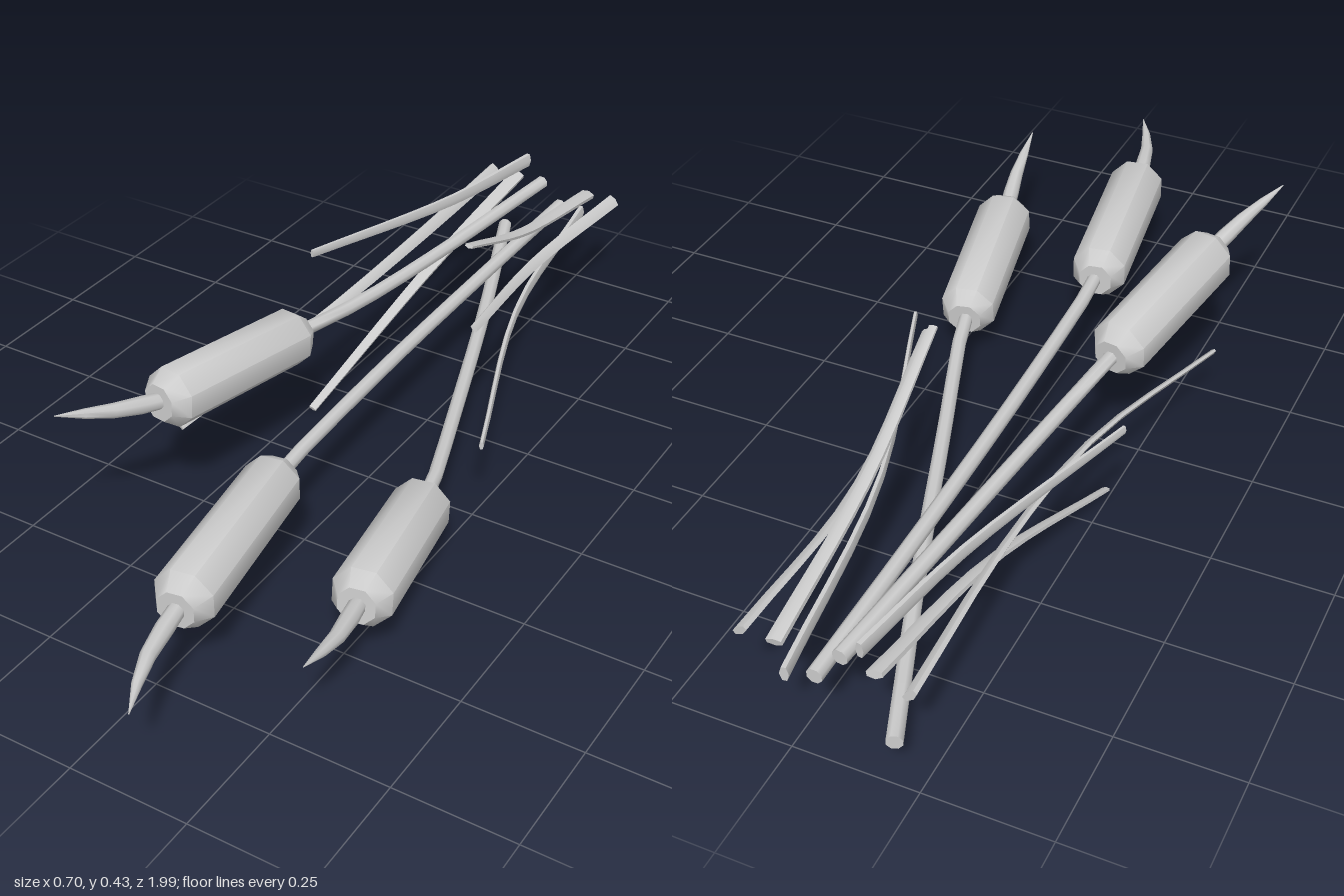
import * as THREE from 'three';
import { toCreasedNormals } from 'three/addons/utils/BufferGeometryUtils.js';

const material = new THREE.MeshStandardMaterial({ color: 0xcccccc });
const vec = (p) => new THREE.Vector3(...p);

// Sweeps an elliptical ring along a smooth path; rings are [position 0..1, half width, half thickness].
function sweep(name, points, rings, sides, widthDir = [1, 0, 0], crease = 1) {
  const path = new THREE.CatmullRomCurve3(points.map(vec));
  const positions = [];
  const index = [];
  for (const [u, halfWidth, halfThick] of rings) {
    const centre = path.getPointAt(u);
    const tangent = path.getTangentAt(u);
    const w = vec(widthDir);
    w.addScaledVector(tangent, -w.dot(tangent)).normalize();
    const n = new THREE.Vector3().crossVectors(tangent, w);
    for (let i = 0; i < sides; i++) {
      const a = ((i + 0.5) / sides) * Math.PI * 2;
      const p = centre.clone()
        .addScaledVector(w, Math.cos(a) * halfWidth)
        .addScaledVector(n, Math.sin(a) * halfThick);
      positions.push(p.x, p.y, p.z);
    }
  }
  const last = (rings.length - 1) * sides;
  for (let r = 0; r < last; r += sides) {
    for (let i = 0; i < sides; i++) {
      const j = (i + 1) % sides;
      index.push(r + i, r + j, r + sides + j, r + i, r + sides + j, r + sides + i);
    }
  }
  // End caps
  for (let i = 1; i < sides - 1; i++) {
    index.push(0, i + 1, i, last, last + i, last + i + 1);
  }
  const geometry = new THREE.BufferGeometry();
  geometry.setAttribute('position', new THREE.Float32BufferAttribute(positions, 3));
  geometry.setIndex(index);
  const mesh = new THREE.Mesh(toCreasedNormals(geometry, crease), material);
  mesh.name = name;
  return mesh;
}

// Evenly spaced rings that taper from one size to another
function taper(count, [w0, t0], [w1, t1]) {
  return Array.from({ length: count + 1 }, (_, i) => {
    const u = i / count;
    return [u, w0 + (w1 - w0) * u, t0 + (t1 - t0) * u];
  });
}

// Reed: bending stem, chamfered seed head and a curved pointed spike
function reed({ name, stem, head, spike }) {
  const group = new THREE.Group();
  group.name = name;
  const [back, front] = head;
  const inside = vec(back).lerp(vec(front), 0.1).toArray();
  const spikeRoot = vec(back).lerp(vec(front), 0.95).toArray();
  group.add(
    sweep('stem', [...stem, back, inside], taper(10, [0.016, 0.016], [0.015, 0.015]), 8),
    sweep('seedHead', head, [
      [0, 0.038, 0.038], [0.08, 0.062, 0.062], [0.92, 0.064, 0.064], [1, 0.04, 0.04],
    ], 8, [1, 0, 0], 0.9),
    sweep('spike', [spikeRoot, ...spike], [
      [0, 0.017, 0.017], [0.25, 0.018, 0.018], [0.5, 0.015, 0.015],
      [0.75, 0.010, 0.010], [1, 0.001, 0.001],
    ], 8),
  );
  return group;
}

export function createModel() {
  const model = new THREE.Group();
  model.name = 'reedBundle';

  const reeds = [
    {
      name: 'leftReed',
      stem: [[-0.2, 0.095, -0.99], [-0.047, 0.095, -0.6], [0.08, 0.097, -0.25]],
      head: [[0.215, 0.117, 0.13], [0.293, 0.155, 0.525]],
      spike: [[0.323, 0.18, 0.64], [0.34, 0.22, 0.77]],
    },
    {
      name: 'middleReed',
      stem: [[-0.053, 0.19, -0.99], [-0.052, 0.19, -0.6], [-0.045, 0.19, -0.15]],
      head: [[-0.026, 0.188, 0.29], [0.045, 0.188, 0.735]],
      spike: [[0.08, 0.188, 0.87], [0.137, 0.19, 0.99]],
    },
    {
      name: 'rightReed',
      stem: [[-0.1, 0.245, -0.98], [-0.14, 0.246, -0.56], [-0.175, 0.254, -0.25]],
      head: [[-0.204, 0.27, -0.06], [-0.27, 0.3, 0.35]],
      spike: [[-0.3, 0.325, 0.44], [-0.353, 0.362, 0.56]],
    },
  ];
  reeds.forEach((r) => model.add(reed(r)));

  // Flat leaves: path and the direction of their broad side
  const leaves = [
    [[[-0.24, 0.235, -1], [-0.228, 0.235, -0.6], [-0.245, 0.213, -0.25], [-0.33, 0.14, 0.21]], [0.65, -0.75, 0]],
    [[[-0.17, 0.245, -0.99], [-0.19, 0.17, -0.6], [-0.238, 0.008, -0.15]], [1, -0.28, 0]],
    [[[-0.145, 0.29, -0.99], [-0.2, 0.293, -0.7], [-0.33, 0.305, -0.3]], [0, 1, 0]],
    [[[0.02, 0.24, -0.99], [0.035, 0.315, -0.62], [0.058, 0.432, -0.31]], [1, -0.17, 0]],
    [[[0.087, 0.24, -0.99], [0.075, 0.255, -0.61], [0.14, 0.318, -0.19]], [0.75, -0.65, 0]],
    [[[0, 0.182, -1], [0.085, 0.187, -0.5], [0.27, 0.19, 0.01]], [0, 1, 0]],
  ];
  leaves.forEach(([points, broad], i) => {
    model.add(sweep(`leaf${i + 1}`, points, taper(10, [0.018, 0.009], [0.01, 0.005]), 6, broad, 1.1));
  });

  return model;
}
